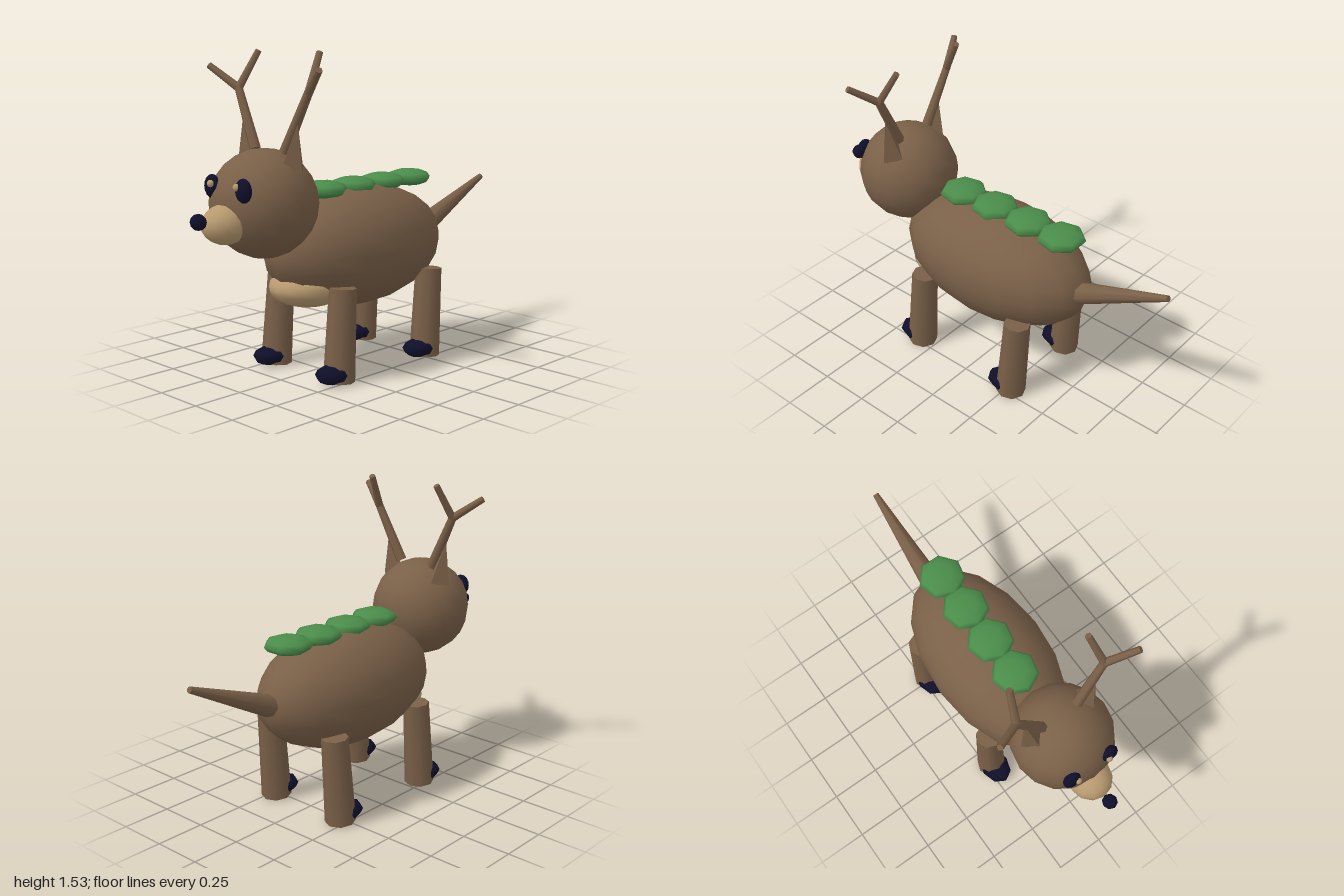
import * as THREE from 'three';

const material = (name, color) => {
  const m = new THREE.MeshStandardMaterial({ color });
  m.name = name;
  return m;
};

export function createModel() {
  const fur = material('brown fur', 0x7a6048);
  const cream = material('tan', 0xb89a70);
  const dark = material('dark navy', 0x0f0f2a);
  const leaf = material('leaf green', 0x4a8c4a);
  const model = new THREE.Group();
  model.name = 'deer';

  const add = (name, geometry, mat, parent = model) => {
    const mesh = new THREE.Mesh(geometry, mat);
    mesh.name = name;
    parent.add(mesh);
    return mesh;
  };

  // Low-sided ellipsoid: centre, radii, segment counts
  const ellipsoid = (name, mat, centre, radii, w = 16, h = 12, parent = model) => {
    const geo = new THREE.SphereGeometry(1, w, h);
    if (w === 7) geo.rotateY(Math.PI / 2);
    geo.scale(...radii);
    const mesh = add(name, geo, mat, parent);
    mesh.position.set(...centre);
    return mesh;
  };

  // Tapered rod between two points
  const rod = (name, mat, from, to, r0, r1, sides, parent = model) => {
    const a = new THREE.Vector3(...from);
    const b = new THREE.Vector3(...to);
    const dir = b.clone().sub(a);
    const mesh = add(name, new THREE.CylinderGeometry(r1, r0, dir.length(), sides), mat, parent);
    mesh.position.copy(a).add(b).multiplyScalar(0.5);
    mesh.quaternion.setFromUnitVectors(new THREE.Vector3(0, 1, 0), dir.normalize());
    return mesh;
  };

  // Torso and tail
  ellipsoid('body', fur, [0, 0.587, 0], [0.3, 0.295, 0.54]);
  ellipsoid('belly', cream, [0, 0.43, 0.3], [0.18, 0.1, 0.22]);
  rod('tail', fur, [0, 0.612, -0.515], [0, 0.822, -0.985], 0.055, 0.015, 8);

  // Row of leaves along the spine
  for (const z of [0.215, 0.015, -0.19, -0.39]) {
    ellipsoid('backLeaf', leaf, [0, 0.878, z], [0.117, 0.043, 0.117], 7, 6);
  }

  // Head, muzzle and nose
  ellipsoid('head', fur, [0, 0.855, 0.59], [0.25, 0.25, 0.25]);
  ellipsoid('muzzle', cream, [0, 0.787, 0.815], [0.105, 0.09, 0.11], 12, 10);
  ellipsoid('nose', dark, [0, 0.815, 0.962], [0.037, 0.037, 0.037], 8, 6);

  for (const s of [1, -1]) {
    const side = s > 0 ? 'left' : 'right';

    // Eye with highlight
    ellipsoid(side + 'Eye', dark, [s * 0.106, 0.943, 0.797], [0.046, 0.055, 0.03], 12, 8);
    ellipsoid(side + 'EyeHighlight', cream, [s * 0.088, 0.959, 0.822], [0.017, 0.017, 0.015], 8, 6);

    // Four-sided ear
    const ear = rod(side + 'Ear', fur, [s * 0.147, 1.018, 0.55], [s * 0.185, 1.22, 0.55], 0.066, 0.001, 4);
    ear.geometry = ear.geometry.toNonIndexed();
    ear.geometry.computeVertexNormals();

    // Antler: main beam and two tines
    const antler = new THREE.Group();
    antler.name = side + 'Antler';
    model.add(antler);
    const fork = [s * 0.235, 1.36, 0.53];
    rod('beam', fur, [s * 0.1, 1.09, 0.55], fork, 0.027, 0.02, 6, antler);
    rod('outerTine', fur, fork, [s * 0.368, 1.462, 0.595], 0.02, 0.016, 6, antler);
    rod('innerTine', fur, fork, [s * 0.204, 1.53, 0.433], 0.02, 0.016, 6, antler);

    // Legs with hooves
    for (const [end, z] of [['Front', 0.3], ['Back', -0.305]]) {
      const leg = new THREE.Group();
      leg.name = side + end + 'Leg';
      model.add(leg);
      rod('shank', fur, [s * 0.218, 0.01, z + 0.032], [s * 0.213, 0.45, z], 0.075, 0.065, 8, leg);
      ellipsoid('hoof', dark, [s * 0.218, 0.053, z + 0.066], [0.074, 0.047, 0.1], 8, 6, leg);
    }
  }
  return model;
}
